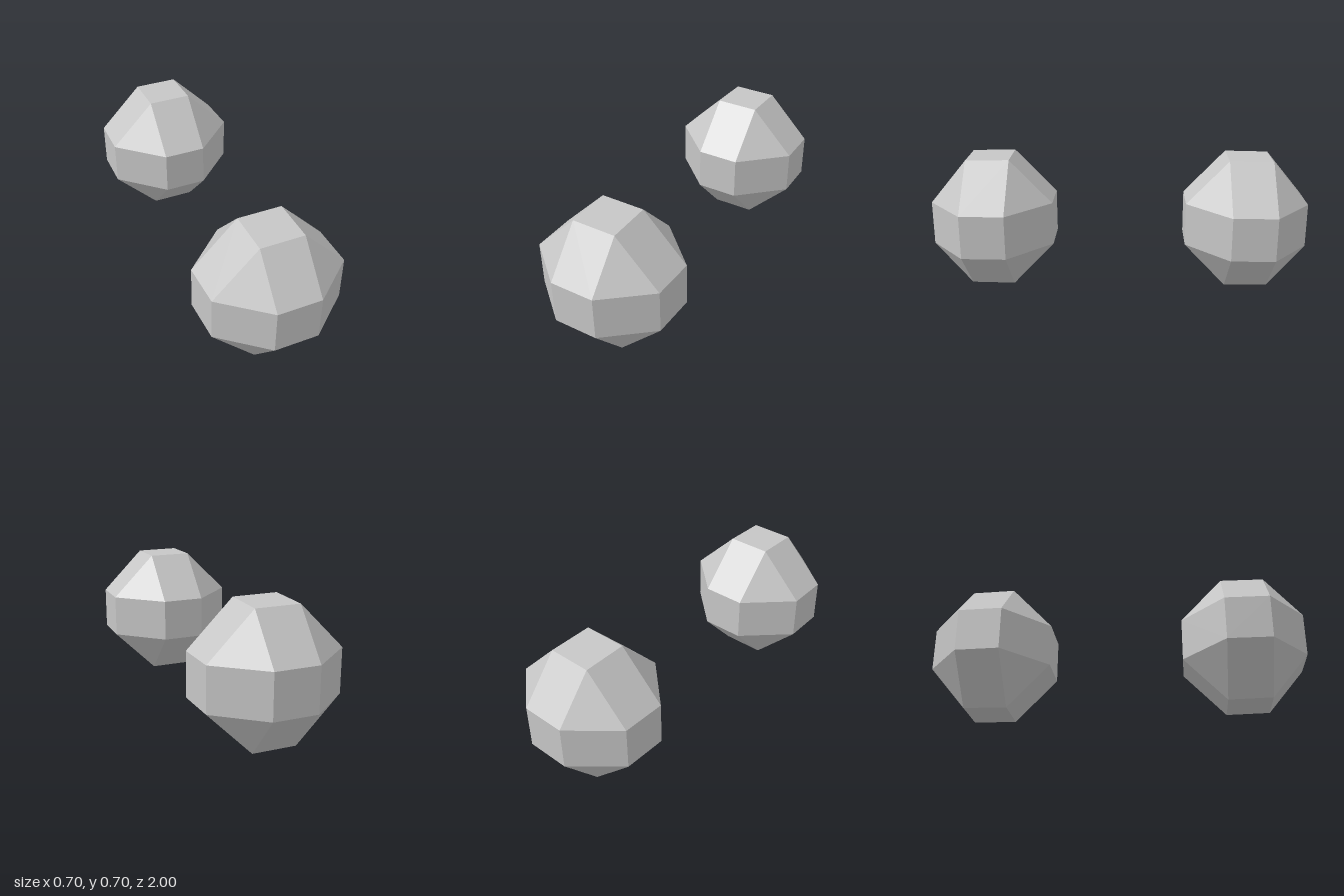
import * as THREE from 'three';
import { ConvexGeometry } from 'three/addons/geometries/ConvexGeometry.js';

const HALF = 0.115;               // half width of the square facets
const CENTRE_Y = 0.35;
const INNER = { ring: 0.577, cap: 0.355, radius: 0.35 };   // towards the middle
const OUTER = { ring: 0.807, cap: 1.0, radius: 0.346 };    // towards the ends

// Faceted ball with 18 quads and 8 corner triangles; side is +1 (front) or -1 (back)
function facetedBall(side) {
  const points = [];
  for (const { ring, cap, radius } of [INNER, OUTER]) {
    for (const sx of [-1, 1]) {
      for (const sy of [-1, 1]) {
        points.push(
          new THREE.Vector3(sx * HALF, CENTRE_Y + sy * HALF, side * cap),
          new THREE.Vector3(sx * HALF, CENTRE_Y + sy * radius, side * ring),
          new THREE.Vector3(sx * radius, CENTRE_Y + sy * HALF, side * ring)
        );
      }
    }
  }
  return new ConvexGeometry(points);
}

export function createModel() {
  const group = new THREE.Group();
  group.name = 'facetedBalls';
  const grey = new THREE.MeshStandardMaterial({ color: 0xc6c6c6, flatShading: true });
  grey.name = 'light grey';

  // A mirrored pair along z
  for (const [name, side] of [['frontBall', 1], ['backBall', -1]]) {
    const ball = new THREE.Mesh(facetedBall(side), grey);
    ball.name = name;
    group.add(ball);
  }
  return group;
}
